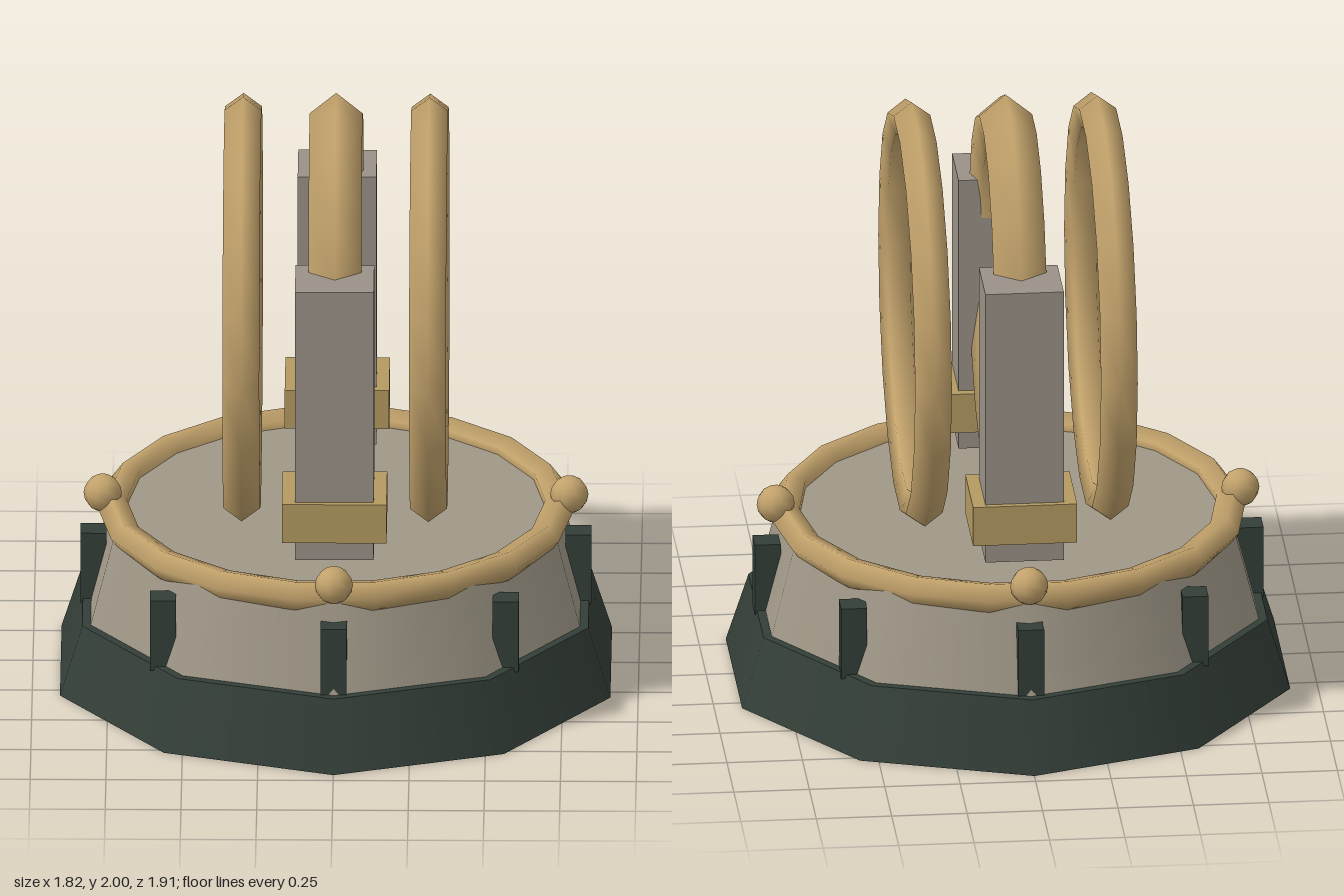
import * as THREE from 'three';

const material = (name, color, side = THREE.FrontSide) => {
  const m = new THREE.MeshStandardMaterial({ color, side });
  m.name = name;
  return m;
};

export function createModel() {
  const group = new THREE.Group();
  const darkMetal = material('dark green metal', 0x343f38);
  const stone = material('warm stone', 0xa09888);
  const postStone = material('post stone', 0x9a9288);
  const brass = material('brass', 0xc2a26b);
  const bandBrass = material('band brass', 0xb59b62);
  const glass = material('teal glass', 0x6cbfc1, THREE.DoubleSide);

  const add = (name, geometry, mat, x = 0, y = 0, z = 0) => {
    const mesh = new THREE.Mesh(geometry, mat);
    mesh.name = name;
    mesh.position.set(x, y, z);
    group.add(mesh);
    return mesh;
  };

  // Ten-sided foot and tapered drum
  add('foot', new THREE.CylinderGeometry(0.878, 0.955, 0.24, 10), darkMetal, 0, 0.12, 0);
  add('drum', new THREE.CylinderGeometry(0.765, 0.85, 0.32, 10), stone, 0, 0.395, 0);

  // Eight square studs around the drum
  const stud = new THREE.BoxGeometry(0.086, 0.25, 0.086);
  for (let i = 0; i < 8; i++) {
    const a = (i * Math.PI) / 4;
    add('stud', stud, darkMetal, 0.8 * Math.sin(a), 0.35, 0.8 * Math.cos(a));
  }

  // Rim around the deck, with four knobs
  add('deckRim', new THREE.TorusGeometry(0.734, 0.053, 5, 18).rotateX(Math.PI / 2), brass, 0, 0.55, 0);
  const knob = new THREE.SphereGeometry(0.063, 10, 8);
  for (let i = 0; i < 4; i++) {
    const a = (i * Math.PI) / 2;
    add('knob', knob, brass, 0.77 * Math.sin(a), 0.603, 0.77 * Math.cos(a));
  }

  // Two posts with bands, front and back
  for (const s of [1, -1]) {
    add('post', new THREE.BoxGeometry(0.26, 0.96, 0.23), postStone, 0, 1.1, s * 0.485);
    add('postBand', new THREE.BoxGeometry(0.345, 0.138, 0.28), bandBrass, 0, 0.758, s * 0.48);
  }

  // Outer rings either side
  const ring = new THREE.TorusGeometry(0.648, 0.064, 5, 18).rotateY(Math.PI / 2);
  for (const s of [1, -1]) add('sideRing', ring, brass, s * 0.308, 1.27, 0);

  // Oval centre frame and its glass disc
  const frame = new THREE.TorusGeometry(0.508, 0.092, 5, 18).rotateY(Math.PI / 2);
  frame.scale(1, 1.11, 0.885);
  add('centreFrame', frame, brass, 0, 1.345, 0);
  const disc = new THREE.CylinderGeometry(1, 1, 0.02, 24).rotateZ(Math.PI / 2);
  disc.scale(1, 0.62, 0.385);
  add('glassDisc', disc, glass, 0, 1.27, 0);

  return group;
}
